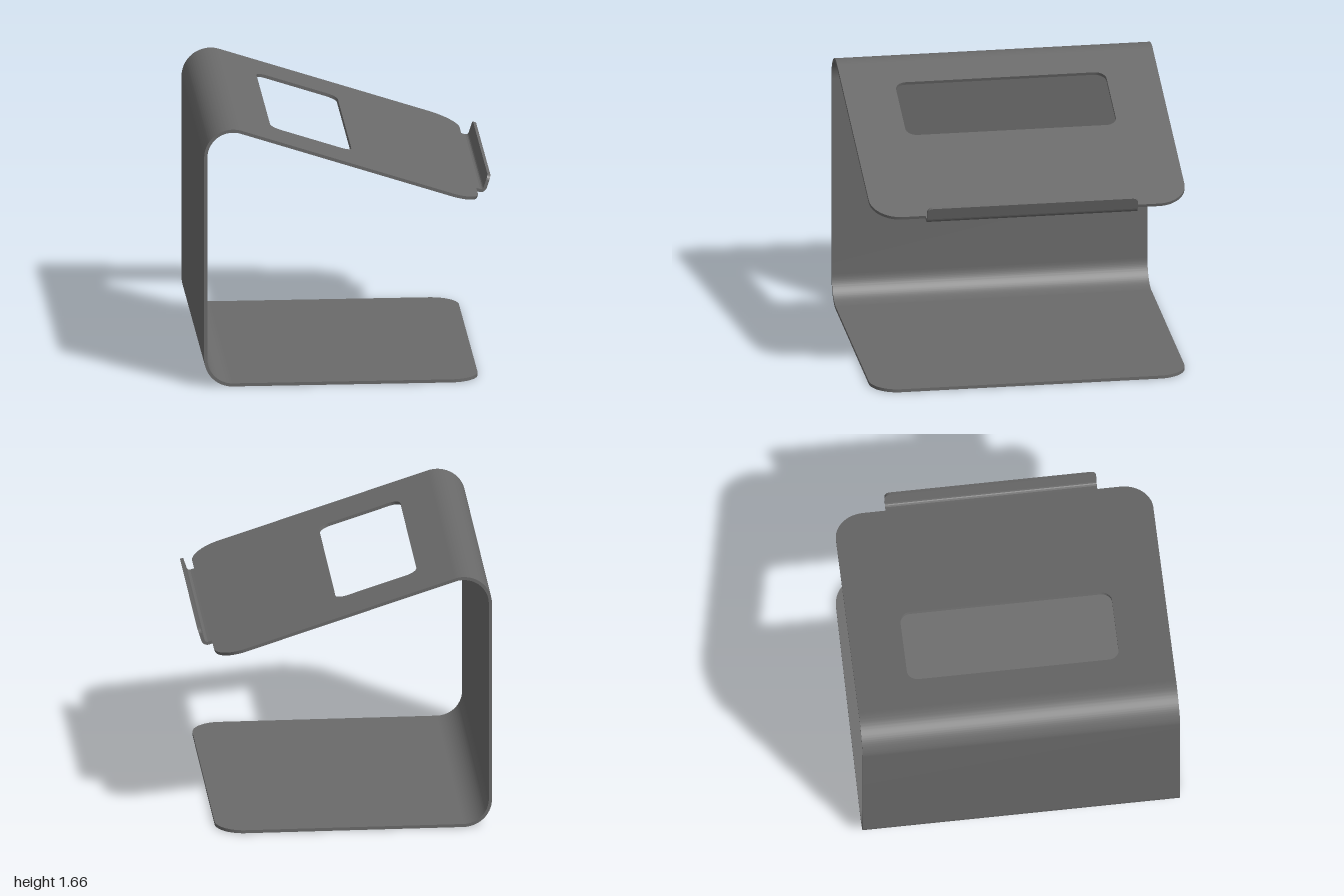
import * as THREE from 'three';
import { toCreasedNormals } from 'three/addons/utils/BufferGeometryUtils.js';

const T = 0.02;                            // sheet thickness
const R = 0.18;                            // outer bend radius
const BEND_X = -0.732, LOW_Y = 0.18, HIGH_Y = 1.485;
const TILT = THREE.MathUtils.degToRad(18); // slope of the deck
const PI = Math.PI;

// Dark grey sheet metal
const material = new THREE.MeshStandardMaterial({ color: 0x6a6a6a });

function extrude(shape, depth) {
  return new THREE.ExtrudeGeometry(shape, { depth, bevelEnabled: false, curveSegments: 24 });
}

function makeMesh(name, geometry) {
  const mesh = new THREE.Mesh(toCreasedNormals(geometry, 0.5), material);
  mesh.name = name;
  return mesh;
}

// Side profile swept across the width, centred on z = 0
function strip(name, shape, width) {
  return makeMesh(name, extrude(shape, width).translate(0, 0, -width / 2));
}

// Flat outline from a to b, with the two corners at b rounded
function tongue(a, b, width, r) {
  const h = width / 2;
  const s = new THREE.Shape();
  s.moveTo(a, -h);
  s.lineTo(b - r, -h);
  s.absarc(b - r, -h + r, r, -PI / 2, 0, false);
  s.absarc(b - r, h - r, r, 0, PI / 2, false);
  s.lineTo(a, h);
  s.closePath();
  return s;
}

// Rounded rectangular cut-out
function windowPath(a, b, width, r) {
  const h = width / 2;
  const p = new THREE.Path();
  p.absarc(b - r, h - r, r, 0, PI / 2, false);
  p.absarc(a + r, h - r, r, PI / 2, PI, false);
  p.absarc(a + r, -h + r, r, PI, 1.5 * PI, false);
  p.absarc(b - r, -h + r, r, 1.5 * PI, 2 * PI, false);
  p.closePath();
  return p;
}

export function createModel() {
  const model = new THREE.Group();
  model.name = 'bentSheetStand';

  // Base plate resting on the ground
  const base = extrude(tongue(BEND_X, 0.817, 2, R), T).rotateX(-PI / 2);
  model.add(makeMesh('basePlate', base));

  // Upright wall with its lower and upper bends
  const wall = new THREE.Shape();
  wall.absarc(BEND_X, LOW_Y, R, 1.5 * PI, PI, true);
  wall.absarc(BEND_X, HIGH_Y, R, PI, PI / 2 - TILT, true);
  wall.absarc(BEND_X, HIGH_Y, R - T, PI / 2 - TILT, PI, false);
  wall.absarc(BEND_X, LOW_Y, R - T, PI, 1.5 * PI, false);
  wall.closePath();
  model.add(strip('uprightWall', wall, 2));

  // Sloping deck: local x runs down the slope, y = 0 is its top face
  const deck = new THREE.Group();
  deck.name = 'deck';
  deck.position.set(BEND_X + R * Math.sin(TILT), HIGH_Y + R * Math.cos(TILT), 0);
  deck.rotation.z = -TILT;
  model.add(deck);

  const deckEnd = 1.574;
  const lipWidth = 1.334;
  const outline = tongue(0, deckEnd, 2, 0.19);
  outline.holes.push(windowPath(0.217, 0.754, lipWidth, 0.07));
  deck.add(makeMesh('deckPlate', extrude(outline, T).rotateX(-PI / 2).translate(0, -T, 0)));

  // Small bend joining the deck to the retaining lip
  const lipX = 1.597, lipR = 0.04;
  const bend = new THREE.Shape();
  bend.moveTo(deckEnd, 0);
  bend.lineTo(deckEnd, -T);
  bend.lineTo(lipX, -T);
  bend.absarc(lipX, lipR - T, lipR, -PI / 2, 0, false);
  bend.absarc(lipX, lipR - T, lipR - T, 0, -PI / 2, true);
  bend.closePath();
  deck.add(strip('lipBend', bend, lipWidth));

  // Retaining lip standing square to the deck, with rounded top corners
  const lip = extrude(tongue(lipR - T, 0.1, lipWidth, 0.035), T);
  lip.applyMatrix4(new THREE.Matrix4().makeBasis(
    new THREE.Vector3(0, 1, 0), new THREE.Vector3(0, 0, 1), new THREE.Vector3(1, 0, 0)));
  lip.translate(lipX + lipR - T, 0, 0);
  deck.add(makeMesh('retainingLip', lip));

  return model;
}
